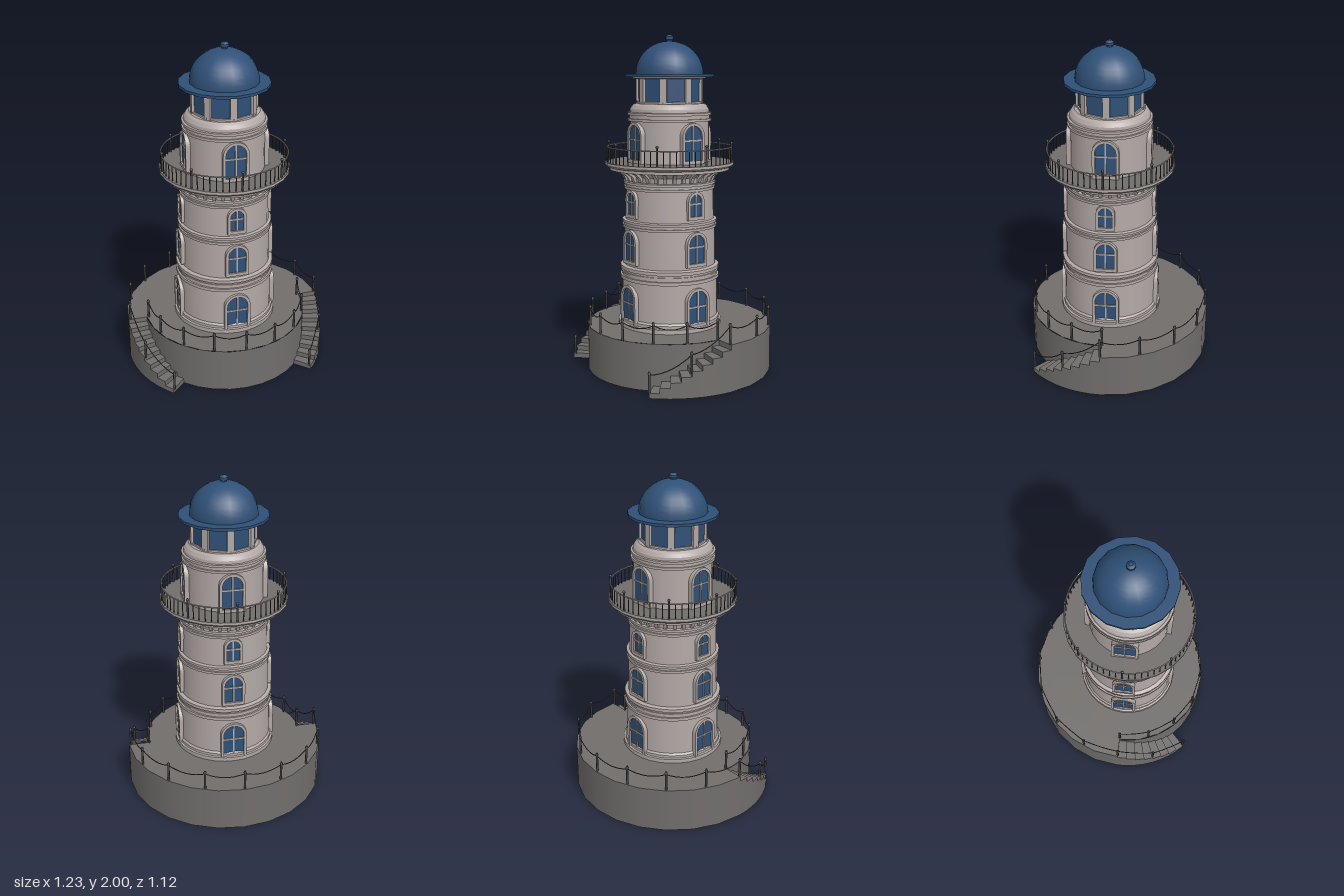
import * as THREE from 'three';
import { mergeGeometries } from 'three/addons/utils/BufferGeometryUtils.js';

const mat = (name, color, side = THREE.DoubleSide) => {
  const m = new THREE.MeshStandardMaterial({ color, side });
  m.name = name;
  return m;
};
const stone = mat('pale stone', 0xb3a9a6);
const grey = mat('grey masonry', 0x716e6c);
const metal = mat('dark metal', 0x474546);
const blue = mat('blue', 0x2f5077);

const RAD = Math.PI / 180;
const polar = (r, deg, y) => new THREE.Vector3(r * Math.sin(deg * RAD), y, r * Math.cos(deg * RAD));

function add(parent, name, geometry, material) {
  const mesh = new THREE.Mesh(geometry, material);
  mesh.name = name;
  parent.add(mesh);
  return mesh;
}

// Turned surface: smooth around the axis, sharp between profile points
function turned(profile, segments = 32, from = 0, sweep = 360) {
  const bands = [];
  for (let i = 1; i < profile.length; i++) {
    const pair = [profile[i - 1], profile[i]].map(([r, y]) => new THREE.Vector2(r, y));
    bands.push(new THREE.LatheGeometry(pair, segments, from * RAD, sweep * RAD));
  }
  return mergeGeometries(bands);
}

// Round-headed outline from y0 to y1
function arch(C, half, y0, y1) {
  const s = new C();
  s.moveTo(-half, y0);
  s.lineTo(half, y0);
  s.lineTo(half, y1 - half);
  s.absarc(0, y1 - half, half, 0, Math.PI, false);
  s.lineTo(-half, y0);
  return s;
}

const extrude = (shape, depth, z) =>
  new THREE.ExtrudeGeometry(shape, { depth, bevelEnabled: false, curveSegments: 10 }).translate(0, 0, z);

// Arched window facing +z on a wall of radius r
function makeWindow(name, r, half, y0, y1) {
  const g = new THREE.Group();
  g.name = name;
  const inner = half - 0.017, sill = y0 + 0.02, top = y1 - 0.017;
  const frame = arch(THREE.Shape, half, y0, y1);
  frame.holes.push(arch(THREE.Path, inner, sill, top));
  add(g, 'windowFrame', extrude(frame, 0.035, r - 0.021), stone);
  add(g, 'windowGlass', extrude(arch(THREE.Shape, inner, sill, top), 0.024, r - 0.021), blue);
  const mid = sill + (top - sill) * 0.58;
  add(g, 'uprightBar', new THREE.BoxGeometry(0.009, top - sill, 0.008).translate(0, (top + sill) / 2, r + 0.005), stone);
  add(g, 'crossBar', new THREE.BoxGeometry(inner * 2, 0.009, 0.008).translate(0, mid, r + 0.005), stone);
  return g;
}

const TOP = 0.275, OUT = 0.615, IN = 0.5;

function makeBase(g) {
  add(g, 'backWall', turned([[OUT, 0], [OUT, TOP], [IN, TOP]], 12, 90, 180), grey);
  add(g, 'frontWall', turned([[IN, 0], [IN, TOP]], 8, -45, 90), grey);
  add(g, 'terrace', turned([[IN, TOP], [0.28, TOP]], 24), grey);

  // Curved stairs, one on each side
  const steps = 8, span = 45 / steps, rise = TOP / (steps + 1);
  for (const side of [1, -1]) {
    const parts = [];
    for (let i = 0; i <= steps; i++) {
      const h = rise * (i + 1), deg = 45 + span * i;
      if (i < steps) {
        const from = side > 0 ? deg : -deg - span;
        parts.push(turned([[OUT, 0], [OUT, h], [IN, h], [IN, TOP]], 1, from, span));
      }
      const p = polar((OUT + IN) / 2, deg * side, h - rise / 2);
      parts.push(new THREE.PlaneGeometry(OUT - IN, rise).rotateY((deg * side - 90) * RAD).translate(p.x, p.y, p.z));
    }
    add(g, side > 0 ? 'leftStairs' : 'rightStairs', mergeGeometries(parts), grey);
  }
}

// Posts joined by sagging chains; each post is [radius, angle, foot height]
function makeChainFence(g, name, posts) {
  const fence = new THREE.Group();
  fence.name = name;
  g.add(fence);
  let last = null;
  for (const [r, deg, y] of posts) {
    const p = polar(r, deg, y);
    add(fence, 'post', new THREE.CylinderGeometry(0.007, 0.007, 0.12, 8).translate(p.x, y + 0.06, p.z), metal);
    add(fence, 'postCap', new THREE.CylinderGeometry(0.005, 0.01, 0.012, 8).translate(p.x, y + 0.118, p.z), metal);
    const hook = p.clone().setY(y + 0.105);
    if (last) {
      const mid = last.clone().add(hook).multiplyScalar(0.5);
      mid.y -= 0.055;
      const curve = new THREE.QuadraticBezierCurve3(last, mid, hook);
      add(fence, 'chain', new THREE.TubeGeometry(curve, 8, 0.003, 5), metal);
    }
    last = hook;
  }
}

function makeTower(g) {
  add(g, 'towerWall', turned([
    [0.312, TOP], [0.312, 0.3], [0.3, 0.303], [0.3, 0.32], [0.29, 0.332], [0.287, 0.56],
    [0.299, 0.56], [0.299, 0.58], [0.288, 0.58], [0.288, 0.595], [0.293, 0.595], [0.293, 0.605], [0.286, 0.605],
    [0.286, 0.618], [0.298, 0.618], [0.298, 0.638], [0.276, 0.645], [0.273, 0.87],
    [0.284, 0.87], [0.284, 0.885], [0.275, 0.885], [0.275, 0.9], [0.284, 0.9], [0.284, 0.915], [0.267, 0.92],
    [0.262, 1.1], [0.273, 1.1], [0.273, 1.115], [0.264, 1.115], [0.264, 1.13], [0.275, 1.13], [0.275, 1.145],
    [0.258, 1.148], [0.264, 1.18], [0.3, 1.212], [0.358, 1.212], [0.358, 1.232],
  ]), stone);
  add(g, 'upperWall', turned([
    [0.237, 1.255], [0.234, 1.5], [0.25, 1.5], [0.25, 1.515], [0.24, 1.515], [0.24, 1.535], [0.25, 1.535],
    [0.25, 1.55], [0.237, 1.552], [0.235, 1.57], [0.222, 1.59], [0.206, 1.602], [0, 1.602],
  ]), stone);

  const rows = [
    ['doorWindow', 0.288, 0.08, TOP, 0.535], ['lowerWindow', 0.275, 0.07, 0.66, 0.865],
    ['middleWindow', 0.264, 0.056, 0.935, 1.1], ['galleryWindow', 0.236, 0.077, 1.258, 1.495],
  ];
  for (const row of rows) {
    for (let k = 0; k < 4; k++) {
      const w = makeWindow(...row);
      w.rotation.y = k * Math.PI / 2;
      g.add(w);
    }
  }
}

function makeGallery(g) {
  // Corbels under the balcony
  const profile = new THREE.Shape([[0.25, 1.15], [0.27, 1.15], [0.282, 1.178], [0.31, 1.198], [0.35, 1.214], [0.25, 1.214]]
    .map(([x, y]) => new THREE.Vector2(x, y)));
  const corbel = extrude(profile, 0.02, -0.01);
  for (let i = 0; i < 32; i++) add(g, 'corbel', corbel, stone).rotation.y = (i + 0.5) * Math.PI / 16;

  add(g, 'galleryEdge', turned([[0.358, 1.23], [0.376, 1.232], [0.386, 1.242], [0.386, 1.258]], 24), stone);
  add(g, 'galleryFloor', turned([[0.386, 1.258], [0.23, 1.258]], 24), grey);
  add(g, 'galleryUnderside', turned([[0.25, 1.231], [0.376, 1.231]], 24), grey);

  // Railing
  const R = 0.373;
  add(g, 'galleryRail', new THREE.TorusGeometry(R, 0.004, 6, 48).rotateX(Math.PI / 2).translate(0, 1.347, 0), stone);
  const bar = new THREE.CylinderGeometry(0.003, 0.003, 0.09, 6);
  for (let i = 0; i < 64; i++) {
    if (i % 8) add(g, 'baluster', bar, metal).position.copy(polar(R, i * 5.625, 1.302));
  }
  for (let a = 0; a < 360; a += 45) {
    add(g, 'galleryPost', new THREE.CylinderGeometry(0.006, 0.006, 0.11, 8), metal).position.copy(polar(R, a, 1.312));
    add(g, 'galleryPostBall', new THREE.SphereGeometry(0.009, 8, 6), metal).position.copy(polar(R, a, 1.37));
  }
}

function makeLantern(g) {
  const octagon = (r, y0, y1) => {
    const geo = new THREE.CylinderGeometry(r, r, y1 - y0, 8).translate(0, (y0 + y1) / 2, 0).toNonIndexed();
    geo.computeVertexNormals();
    return geo;
  };
  add(g, 'lanternGlass', octagon(0.19, 1.6, 1.75), blue);
  add(g, 'lanternSill', octagon(0.2, 1.6, 1.613), stone);
  add(g, 'lanternHead', octagon(0.2, 1.742, 1.755), stone);
  for (let i = 0; i < 8; i++) {
    const a = i * Math.PI / 4;
    const m = add(g, 'lanternMullion', new THREE.BoxGeometry(0.04, 0.15, 0.024), stone);
    m.position.set(0.185 * Math.sin(a), 1.677, 0.185 * Math.cos(a));
    m.rotation.y = a;
  }
  add(g, 'cornice', turned([[0.19, 1.745], [0.215, 1.748], [0.225, 1.76]], 16), stone);

  // Roof
  add(g, 'roofBrim', turned([[0.19, 1.757], [0.266, 1.757], [0.266, 1.773], [0.19, 1.773]], 16), blue);
  add(g, 'dome', new THREE.SphereGeometry(0.202, 16, 10, Math.PI / 2, Math.PI * 2, 0, Math.PI / 2)
    .scale(1, 0.95, 1).translate(0, 1.772, 0), blue);
  add(g, 'finial', turned([[0.018, 1.95], [0.018, 1.97], [0.026, 1.973], [0.026, 1.988], [0.012, 2], [0, 2]], 8), blue);
}

export function createModel() {
  const model = new THREE.Group();
  model.name = 'lighthouse';
  const g = new THREE.Group();
  g.name = 'lighthouseParts';
  g.position.z = 0.056;
  model.add(g);

  makeBase(g);
  const ring = (r, from, to) => {
    const posts = [];
    for (let a = from; a <= to; a += 22.5) posts.push([r, a, TOP]);
    return posts;
  };
  makeChainFence(g, 'frontFence', ring(0.488, -90, 90));
  const stairPosts = (s) => [[0.603, 45 * s, 0.025], [0.603, 67.5 * s, 0.14]];
  makeChainFence(g, 'backFence', [...stairPosts(1), ...ring(0.603, 90, 270), ...stairPosts(-1).reverse()]);

  makeTower(g);
  makeGallery(g);
  makeLantern(g);
  return model;
}
